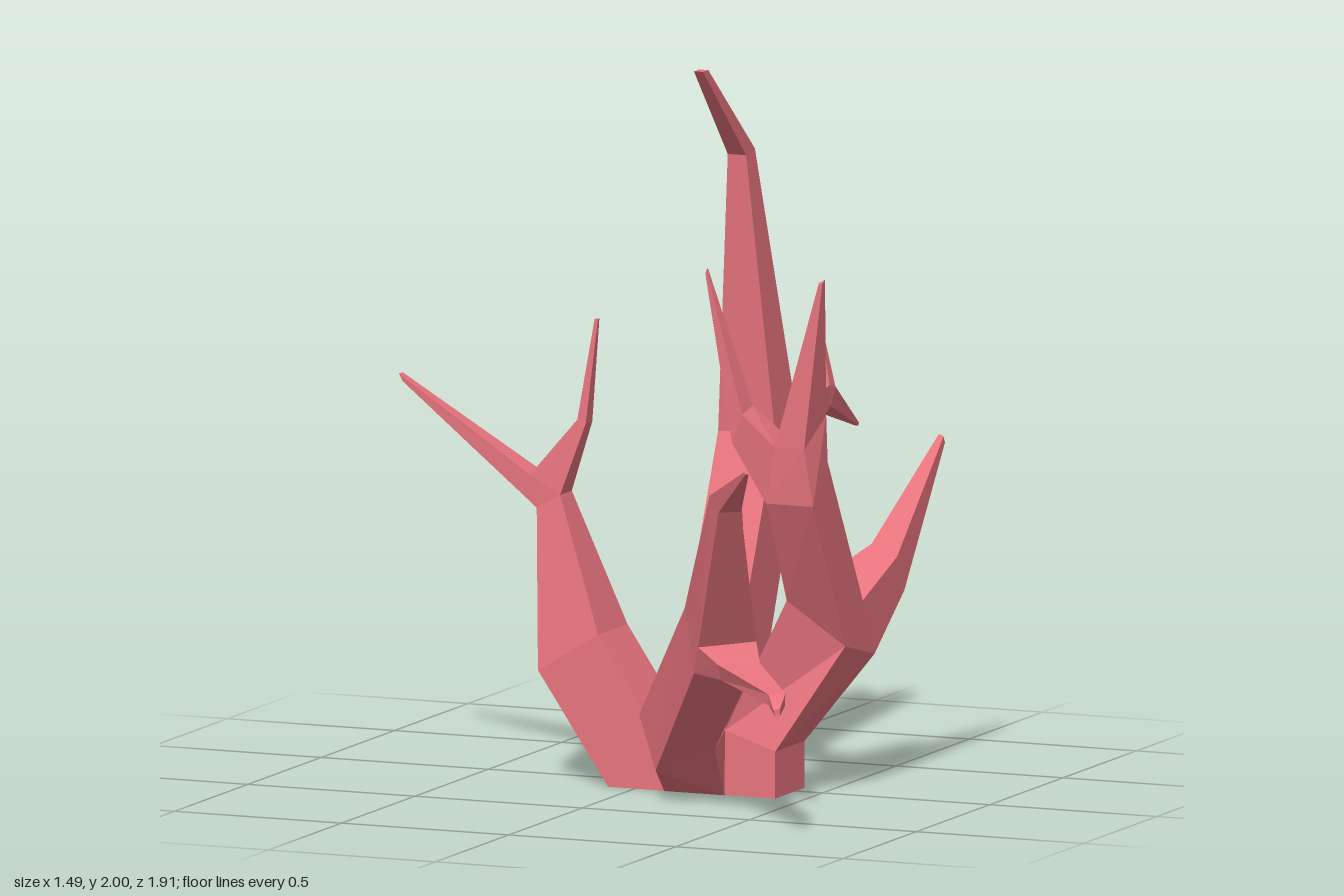
import * as THREE from 'three';

const material = new THREE.MeshStandardMaterial({ color: 0xe8747e, flatShading: true });

// Section seen from the front: an edge from (x1,y1) to (x2,y2), spread between depths za and zb
const spanZ = (x1, y1, x2, y2, za, zb) => [[x1, y1, zb], [x1, y1, za], [x2, y2, za], [x2, y2, zb]];
// Section seen from the side: an edge from (z1,y1) to (z2,y2), spread between xa and xb
const spanX = (z1, y1, z2, y2, xa, xb) => [[xa, y1, z1], [xb, y1, z1], [xb, y2, z2], [xa, y2, z2]];
// Small square section at the end of a branch, in the order of its parent section
const shrink = (ring, center, size) => {
  const mid = [0, 1, 2].map(k => ring.reduce((s, p) => s + p[k], 0) / ring.length);
  const far = Math.max(...ring.map(p => Math.hypot(p[0] - mid[0], p[1] - mid[1], p[2] - mid[2])));
  return ring.map(p => p.map((v, k) => center[k] + (v - mid[k]) * size / far));
};

// Faceted solid through four-cornered sections, capped at both ends
function loft(name, rings) {
  const tris = [];
  const quad = (a, b, c, d) => tris.push([a, b, c], [a, c, d]);
  for (let i = 0; i < rings.length - 1; i++) {
    for (let j = 0; j < 4; j++) {
      const k = (j + 1) % 4;
      quad(rings[i][j], rings[i][k], rings[i + 1][k], rings[i + 1][j]);
    }
  }
  const end = rings[rings.length - 1];
  quad(...[...rings[0]].reverse());
  quad(...end);
  // Turn the faces outward whichever way the sections run
  const v = p => new THREE.Vector3(...p);
  const volume = tris.reduce((s, [a, b, c]) => s + v(a).dot(v(b).cross(v(c))), 0);
  if (volume < 0) tris.forEach(t => t.reverse());
  const geometry = new THREE.BufferGeometry();
  geometry.setAttribute('position', new THREE.Float32BufferAttribute(tris.flat(2), 3));
  geometry.computeVertexNormals();
  const mesh = new THREE.Mesh(geometry, material);
  mesh.name = name;
  return mesh;
}

export function createModel() {
  const group = new THREE.Group();
  group.name = 'coral';
  const add = (name, ...rings) => group.add(loft(name, rings));
  const Z = [-0.06, 0.14];

  // Base
  const baseRight = spanZ(-0.08, 0, 0.05, 0.18, ...Z);
  const baseLeft = spanZ(0.42, 0, 0.27, 0.18, ...Z);
  add('base', baseRight, baseLeft);

  // Right branch with two prongs
  const rightTop = spanZ(-0.32, 0.75, -0.25, 0.79, 0, 0.08);
  const rightCrotch = spanZ(-0.34, 0.84, -0.25, 0.79, 0, 0.08);
  add('rightBranch', baseRight, spanZ(-0.29, 0.31, -0.11, 0.42, ...Z), rightTop, rightCrotch,
    spanZ(-0.205, 1.0, -0.18, 0.99, 0.02, 0.065), spanZ(-0.16, 1.28, -0.15, 1.28, 0.04, 0.05));
  add('rightProng', spanZ(-0.32, 0.75, -0.34, 0.84, 0, 0.08),
    spanZ(-0.735, 1.07, -0.745, 1.09, 0.025, 0.05));

  // Tall centre branch, bent forward at the top
  add('tallBranch', spanX(0.14, 0.1, -0.06, 0.05, 0.1, 0.27), spanX(0.14, 0.18, -0.06, 0.13, 0.1, 0.27),
    spanX(-0.2, 0.95, -0.37, 0.88, 0.1, 0.27), spanX(-0.2, 0.95, -0.35, 0.98, 0.1, 0.27),
    spanX(-0.14, 1.73, -0.2, 1.74, 0.155, 0.21), spanX(0.125, 2, 0.09, 2, 0.17, 0.198));

  // Rear fork of the tall branch
  add('rearFork', spanX(-0.35, 0.98, -0.37, 0.88, 0.1, 0.27), spanX(-0.64, 1.02, -0.65, 0.96, 0.13, 0.24),
    spanX(-0.68, 1.01, -0.65, 0.96, 0.13, 0.24), spanX(-0.955, 0.865, -0.95, 0.857, 0.18, 0.19));
  add('rearForkProng', spanX(-0.64, 1.02, -0.68, 1.01, 0.13, 0.24),
    spanX(-0.667, 1.185, -0.675, 1.185, 0.17, 0.2));

  // Left branch: front fork carries on, rear fork starts at its side
  const outerBack = [0.59, 0.37, -0.15], innerBack = [0.45, 0.5, -0.16];
  const outerFront = [0.59, 0.42, 0.05], innerFront = [0.45, 0.55, 0.13];
  const outerCrotch = [0.59, 0.53, -0.07], innerCrotch = [0.45, 0.57, -0.06];
  const forkTop = [[0.59, 0.84, 0.27], [0.59, 0.95, 0.17], [0.45, 0.95, 0.17], [0.45, 0.84, 0.27]];
  const prongBase = [[0.57, 1, 0.285], [0.59, 1.08, 0.18], [0.48, 1.02, 0.2], [0.48, 1, 0.28]];
  add('leftBranch', baseLeft, spanZ(0.42, 0.13, 0.27, 0.18, ...Z),
    [outerFront, outerBack, innerBack, innerFront],
    [outerFront, outerCrotch, innerCrotch, innerFront],
    forkTop, prongBase, shrink(prongBase, [0.62, 1.467, 0.28], 0.012));
  const side = [forkTop[2], forkTop[3], prongBase[3], prongBase[2]];
  const sideMid = [[0.38, 1.03, 0.27], [0.37, 1.01, 0.32], [0.4, 1.09, 0.32], [0.41, 1.11, 0.27]];
  add('leftInnerProng', side, sideMid, shrink(sideMid, [0.31, 1.49, 0.357], 0.008));
  const rearMid = [[0.6, 0.52, -0.33], [0.5, 0.53, -0.33], [0.52, 0.65, -0.29], [0.6, 0.62, -0.28]];
  add('leftRearProng', [outerBack, innerBack, innerCrotch, outerCrotch], rearMid,
    shrink(rearMid, [0.63, 0.915, -0.515], 0.015));

  // Front branch leaning forward and to the left
  const topRight = [0.32, 0.58, 0.53], topLeft = [0.46, 0.59, 0.42];
  const lowLeft = [0.51, 0.43, 0.48], lowRight = [0.37, 0.41, 0.58];
  const crotchLeft = [0.53, 0.5, 0.52], crotchRight = [0.4, 0.49, 0.62];
  const frontTop = [[0.5, 0.94, 0.77], [0.58, 0.965, 0.74], [0.59, 0.9, 0.76], [0.54, 0.9, 0.8]];
  add('frontBranch', spanX(0.14, 0.18, 0.145, 0, 0.09, 0.27),
    [[0.07, 0.23, 0.27], [0.22, 0.3, 0.2], [0.3, 0.15, 0.28], [0.15, 0.09, 0.34]],
    [topRight, topLeft, lowLeft, lowRight], [topRight, topLeft, crotchLeft, crotchRight],
    frontTop, shrink(frontTop, [0.69, 1.042, 0.95], 0.008));

  // Low prong under the front branch
  add('frontProng', [crotchRight, crotchLeft, lowLeft, lowRight],
    [[0.46, 0.445, 0.62], [0.555, 0.445, 0.55], [0.55, 0.405, 0.54], [0.46, 0.4, 0.6]],
    [[0.69, 0.405, 0.8], [0.725, 0.405, 0.765], [0.725, 0.37, 0.77], [0.69, 0.375, 0.8]],
    [[0.725, 0.37, 0.845], [0.74, 0.375, 0.835], [0.74, 0.355, 0.835], [0.73, 0.352, 0.845]]);

  return group;
}
